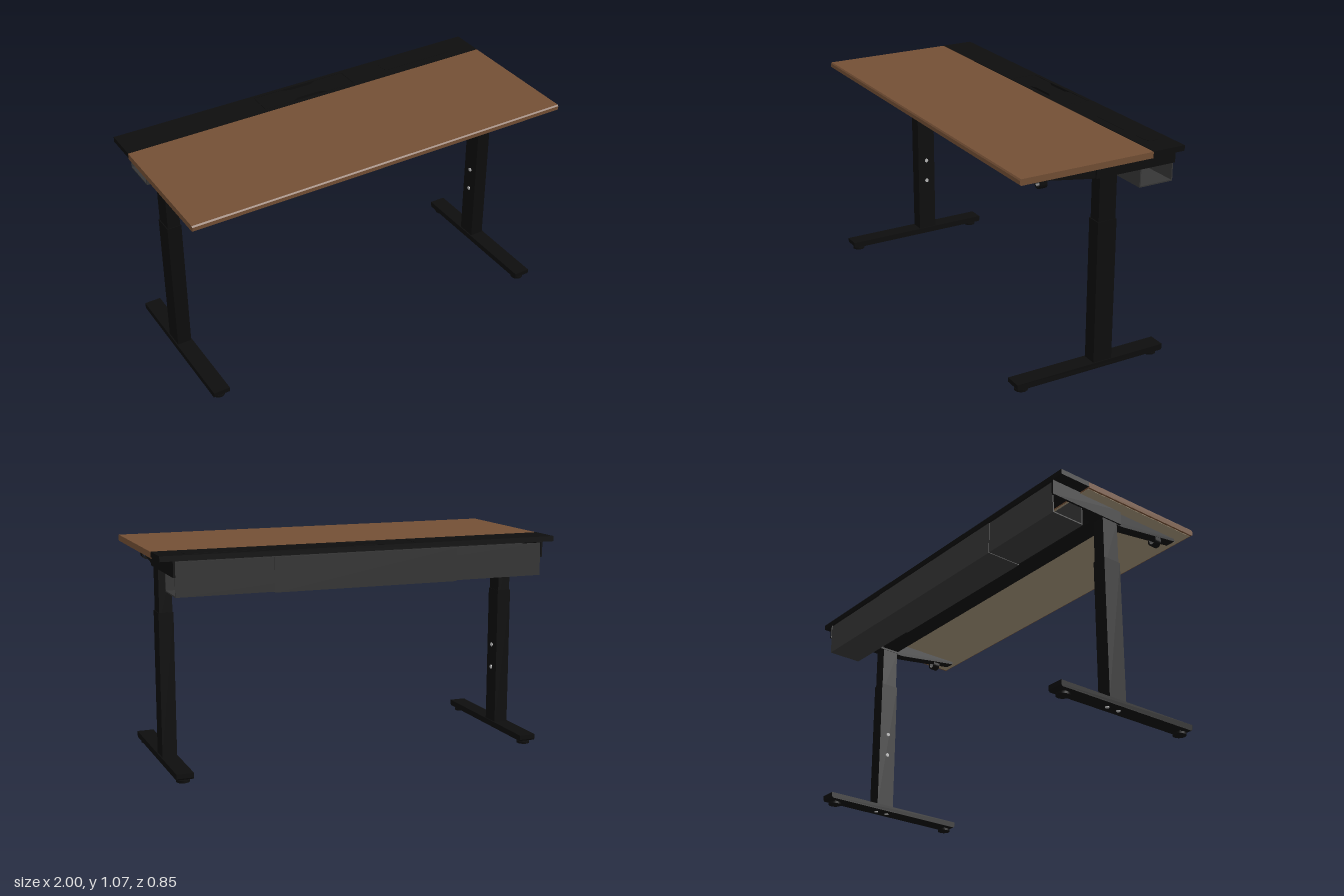
import * as THREE from 'three';

const mat = (name, color, side = THREE.FrontSide) => {
  const m = new THREE.MeshStandardMaterial({ color, side });
  m.name = name;
  return m;
};

export function createModel() {
  const wood = mat('walnut brown', 0x734f35);
  const under = mat('beige underside', 0x9c8c72);
  const black = mat('matte black', 0x0d0d0d);
  const grey = mat('tray grey', 0x363636);
  const steel = mat('screw steel', 0xb8b8b8);

  const root = new THREE.Group();
  root.name = 'standingDesk';

  const add = (parent, name, geo, material) => {
    const m = new THREE.Mesh(geo, material);
    m.name = name;
    parent.add(m);
    return m;
  };
  // Box given by its min and max corners
  const box = (parent, name, x0, x1, y0, y1, z0, z1, material) => {
    const g = new THREE.BoxGeometry(x1 - x0, y1 - y0, z1 - z0);
    g.translate((x0 + x1) / 2, (y0 + y1) / 2, (z0 + z1) / 2);
    return add(parent, name, g, material);
  };
  const shapeOf = (pts) => new THREE.Shape(pts.map(([a, b]) => new THREE.Vector2(a, b)));
  // Profile in (z, y), extruded along x
  const alongX = (pts, x0, x1) => {
    const g = new THREE.ExtrudeGeometry(shapeOf(pts), { depth: x1 - x0, bevelEnabled: false });
    g.rotateY(-Math.PI / 2);
    return g.translate(x1, 0, 0);
  };
  // Plan shape in (x, -z), extruded upwards from y0
  const upward = (shape, y0, height) => {
    const g = new THREE.ExtrudeGeometry(shape, { depth: height, bevelEnabled: false, curveSegments: 10 });
    g.rotateX(-Math.PI / 2);
    return g.translate(0, y0, 0);
  };
  const disc = (parent, name, r, h, x, y, z, axis, material) => {
    const g = new THREE.CylinderGeometry(r, r, h, 20);
    if (axis === 'x') g.rotateZ(Math.PI / 2);
    if (axis === 'z') g.rotateX(Math.PI / 2);
    return add(parent, name, g.translate(x, y, z), material);
  };

  // Wooden top with softened front edge, and its underside sheet
  add(root, 'desktop', alongX([
    [-0.257, 1.04], [0.42, 1.04], [0.427, 1.045], [0.427, 1.064], [0.421, 1.07], [-0.257, 1.07],
  ], -1, 1), wood);
  box(root, 'desktopUnderside', -0.99, 0.99, 1.038, 1.0405, -0.255, 0.415, under);

  // Rear panel with an opening for the cable lid
  const panel = shapeOf([[-1, 0.258], [1, 0.258], [1, 0.427], [-1, 0.427]]);
  panel.holes.push(shapeOf([[-0.26, 0.282], [-0.26, 0.408], [0.25, 0.408], [0.25, 0.282]]));
  add(root, 'rearPanel', upward(panel, 1.045, 0.026), black);
  // Lid with a tapered finger notch on each long edge
  add(root, 'cableLid', upward(shapeOf([
    [-0.258, 0.284], [-0.1, 0.284], [-0.065, 0.302], [0.055, 0.302], [0.09, 0.284], [0.248, 0.284],
    [0.248, 0.406], [0.09, 0.406], [0.055, 0.388], [-0.065, 0.388], [-0.1, 0.406], [-0.258, 0.406],
  ]), 1.05, 0.0205), black);
  // Rounded charging pad
  const pad = new THREE.Shape();
  pad.absarc(0.84, 0.35, 0.04, -Math.PI / 2, Math.PI / 2);
  pad.absarc(0.49, 0.35, 0.04, Math.PI / 2, Math.PI * 1.5);
  add(root, 'chargingPad', upward(pad, 1.07, 0.002), black);

  // Open-ended cable tray: U-shaped sheet and a sleeve over its middle
  const channel = (zf, zb, y0, t) => [
    [zf, 1.04], [zf - t, 1.04], [zf - t, y0 + t], [zb + t, y0 + t],
    [zb + t, 1.04], [zb, 1.04], [zb, y0], [zf, y0],
  ];
  add(root, 'cableTray', alongX(channel(-0.24, -0.421, 0.879, 0.006), -0.93, 0.93), grey);
  add(root, 'trayMiddleSleeve', alongX(channel(-0.237, -0.424, 0.875, 0.003), -0.47, 0.46), grey);

  // Cross beam under the top with screw heads
  box(root, 'crossBeam', -0.88, 0.88, 0.98, 1.038, -0.118, -0.02, black);
  for (const s of [-1, 1]) {
    for (const [x, y] of [[0.82, 1.0], [0.24, 1.0], [0.38, 1.03]]) {
      disc(root, 'beamScrew', 0.007, 0.006, s * x, y, -0.019, 'z', steel);
    }
  }

  for (const s of [-1, 1]) {
    const side = new THREE.Group();
    side.name = s > 0 ? 'leftSide' : 'rightSide';
    root.add(side);
    const c = s * 0.9;

    // Tapered support arm
    add(side, 'supportArm', alongX([
      [0.375, 1.039], [-0.119, 1.039], [-0.119, 0.97], [0.02, 0.97], [0.375, 1.024],
    ], c - 0.026, c + 0.026), black);
    // Rear end plate of the arm, outside the tray
    const e = s * 0.934;
    box(side, 'armEndPlate', e - 0.005, e + 0.005, 0.97, 1.045, -0.425, 0.0, black);
    box(side, 'armRearBlock', c - 0.035, c + 0.035, 0.97, 1.039, -0.236, -0.02, black);
    disc(side, 'armScrew', 0.006, 0.005, s * 0.92, 1.03, 0.375, 'z', steel);

    // Telescopic column
    box(side, 'innerColumn', c - 0.032, c + 0.032, 0.7, 0.972, -0.113, -0.023, black);
    box(side, 'outerColumn', c - 0.036, c + 0.036, 0.045, 0.757, -0.117, -0.018, black);
    for (const y of [0.34, 0.46]) {
      disc(side, 'columnScrew', 0.01, 0.006, s * 0.862, y, -0.067, 'x', steel);
    }

    // Foot with chamfered lower ends and levelling glides
    add(side, 'foot', alongX([
      [0.395, 0.05], [-0.405, 0.05], [-0.405, 0.028], [-0.398, 0.02], [0.388, 0.02], [0.395, 0.028],
    ], c - 0.042, c + 0.042), black);
    for (const z of [-0.36, 0.352]) {
      disc(side, 'glide', 0.032, 0.011, c, 0.0055, z, 'y', black);
      disc(side, 'glideStem', 0.012, 0.014, c, 0.015, z, 'y', black);
    }
    for (const z of [-0.1, -0.033]) {
      disc(side, 'footScrew', 0.01, 0.005, c, 0.0185, z, 'y', steel);
    }

    // J-shaped hook hanging below the arm
    const hook = new THREE.Shape();
    hook.moveTo(0.025, 1.02);
    hook.lineTo(0.025, 0.99);
    hook.absarc(0, 0.99, 0.025, 0, -Math.PI, true);
    hook.lineTo(-0.025, 1.0);
    hook.lineTo(-0.017, 1.0);
    hook.lineTo(-0.017, 0.99);
    hook.absarc(0, 0.99, 0.017, -Math.PI, 0, false);
    hook.lineTo(0.017, 1.02);
    const hg = new THREE.ExtrudeGeometry(hook, { depth: 0.037, bevelEnabled: false });
    if (s < 0) hg.translate(0, 0, -0.037).rotateY(Math.PI);
    add(side, 'hook', hg.translate(c, 0, 0.243), black);
  }
  return root;
}
